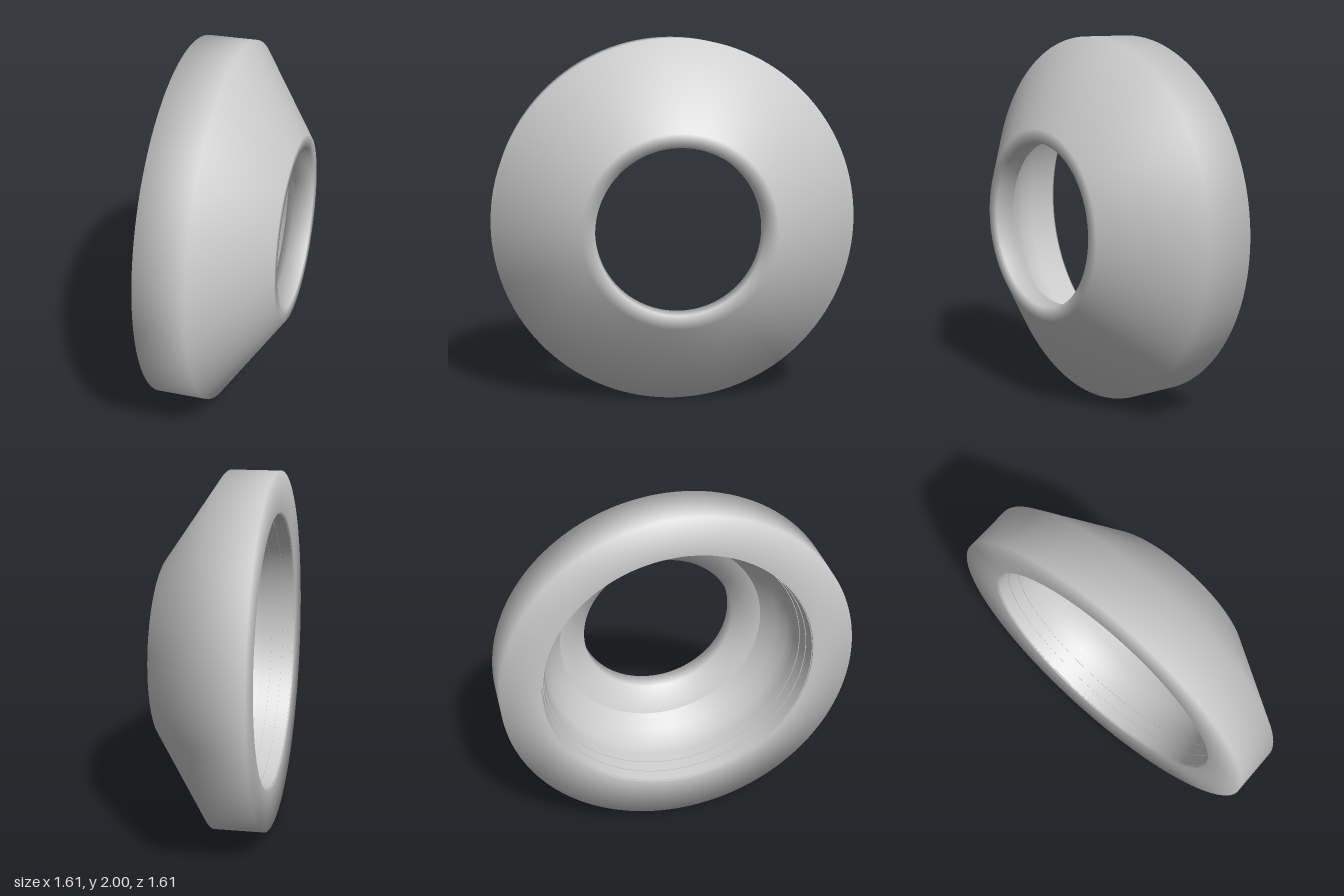
import * as THREE from 'three';

const material = new THREE.MeshStandardMaterial({ color: 0xcccccc });

// Surface of revolution from [radius, height] pairs
function ring(name, profile) {
  const points = profile.map(([r, h]) => new THREE.Vector2(r, h));
  const mesh = new THREE.Mesh(new THREE.LatheGeometry(points, 128), material);
  mesh.name = name;
  return mesh;
}

export function createModel() {
  const model = new THREE.Group();
  model.name = 'conicalCollar';
  const body = new THREE.Group();
  body.name = 'collarBody';

  // Softly shaded shell: rear edge, back, rim, front cone, flat mouth, short bore and inner cone
  body.add(ring('outerShell', [
    [0.77, -0.125], [0.773, -0.137], [1, -0.137], [1, 0.137],
    [0.52, 0.47], [0.446, 0.467], [0.443, 0.36], [0.595, 0.29],
  ]));

  // Steeper funnel between the inner cone and the grooves
  body.add(ring('innerFunnel', [[0.595, 0.29], [0.66, 0.205], [0.71, 0.135], [0.725, 0.07]]));

  // Shallow steps widening towards the back
  const steps = 3, depth = 0.065, widening = 0.015;
  for (let i = 0; i < steps; i++) {
    const top = 0.07 - i * depth, r = 0.725 + i * widening;
    const foot = r + widening * 0.75;
    body.add(ring('boreStep', [[r, top], [foot, top - depth]]));
    body.add(ring('boreLedge', [[foot, top - depth], [r + widening, top - depth]]));
  }

  // Turn the axis halfway between front and left
  body.quaternion.setFromUnitVectors(new THREE.Vector3(0, 1, 0), new THREE.Vector3(1, 0, 1).normalize());
  body.position.y = 1;
  model.add(body);
  return model;
}
